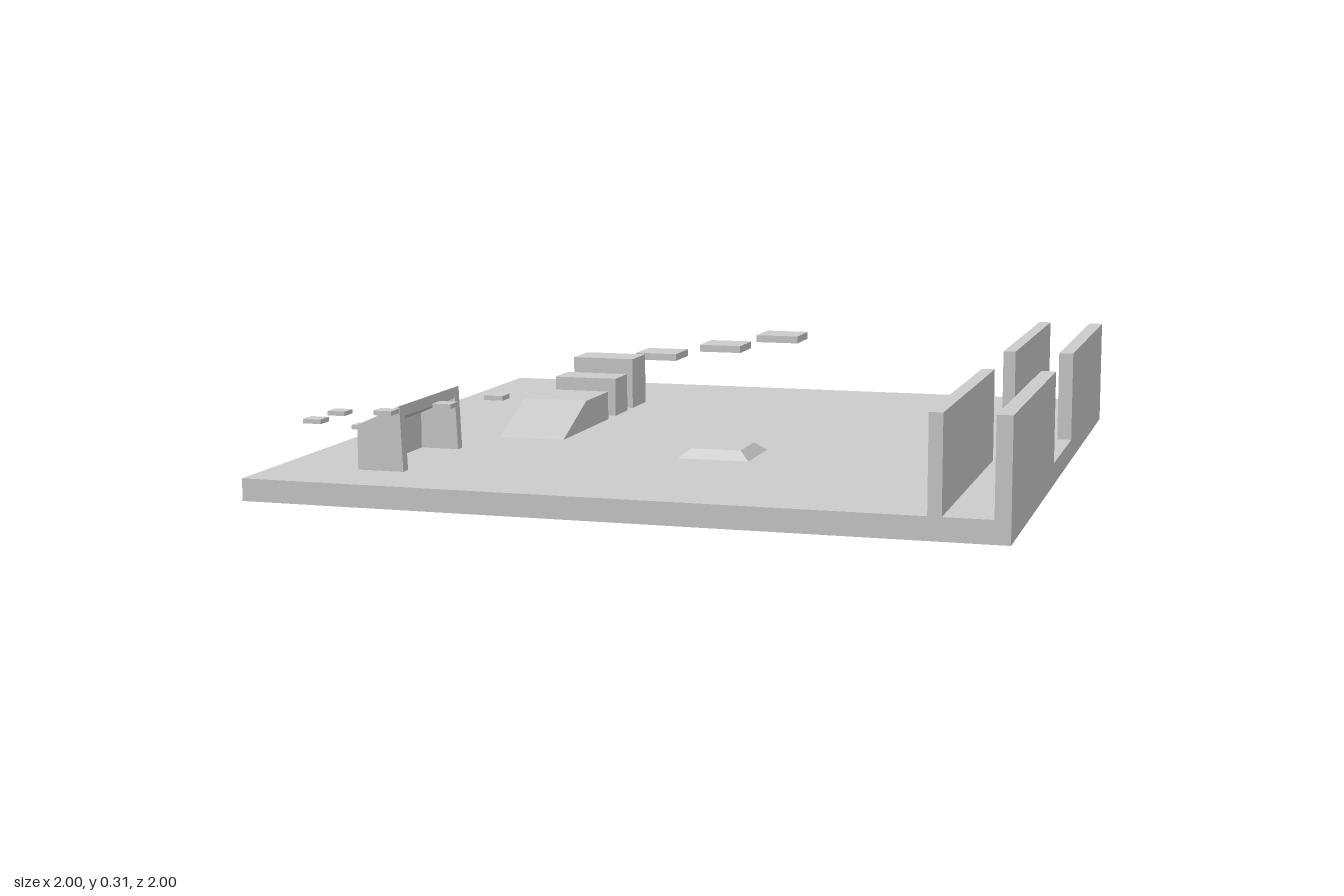
import * as THREE from 'three';

const material = new THREE.MeshStandardMaterial({ color: 0xcccccc, flatShading: true });
const FLOOR = 0.06;

export function createModel() {
  const model = new THREE.Group();

  const add = (name, geometry) => {
    const mesh = new THREE.Mesh(geometry, material);
    mesh.name = name;
    model.add(mesh);
    return mesh;
  };

  // Box given by its extents on each axis
  const box = (name, x0, x1, y0, y1, z0, z1) =>
    add(name, new THREE.BoxGeometry(x1 - x0, y1 - y0, z1 - z0))
      .position.set((x0 + x1) / 2, (y0 + y1) / 2, (z0 + z1) / 2);

  // Outline in x and y, extruded from z0 to z1
  const prism = (name, points, z0, z1) => {
    const shape = new THREE.Shape(points.map(([x, y]) => new THREE.Vector2(x, y)));
    const geometry = new THREE.ExtrudeGeometry(shape, { depth: z1 - z0, bevelEnabled: false });
    return add(name, geometry.translate(0, 0, z0));
  };

  // Ground slab
  box('ground', -1, 1, 0, FLOOR, -1, 1);

  // Two parallel corridor walls with a gap in the middle
  for (const [z0, z1] of [[-1, -0.2], [0.2, 1]]) {
    box('innerWall', 0.8, 0.835, FLOOR, 0.31, z0, z1);
    box('outerWall', 0.96, 1, FLOOR, 0.31, z0, z1);
  }

  // Ramp with a flat rear half: side outline extruded across x
  const rampShape = new THREE.Shape([[-0.2, FLOOR], [0, FLOOR], [0.2, FLOOR], [0, 0.145], [-0.2, 0.145]]
    .map(([z, y]) => new THREE.Vector2(-z, y)));
  const ramp = new THREE.ExtrudeGeometry(rampShape, { depth: 0.195, bevelEnabled: false });
  add('ramp', ramp.rotateY(Math.PI / 2).translate(-0.6, 0, 0));

  // Stepped blocks behind the ramp
  box('lowBlock', -0.6, -0.405, FLOOR, 0.175, -0.385, -0.27);
  box('highBlock', -0.6, -0.405, FLOOR, 0.215, -0.57, -0.44);

  // Large floating platforms, rising to the left
  [[-0.383, 0.202], [-0.168, 0.235], [0.02, 0.272]].forEach(([x, y]) =>
    box('platform', x - 0.067, x + 0.067, y - 0.011, y + 0.011, -0.75, -0.615));

  // Low raised pad with sloping sides
  const pad = new THREE.BoxGeometry(0.2, 0.024, 0.2);
  const p = pad.attributes.position;
  for (let i = 0; i < p.count; i++) {
    if (p.getY(i) > 0) p.setXYZ(i, p.getX(i) * 0.7, p.getY(i), p.getZ(i) * 0.7);
  }
  pad.computeVertexNormals();
  add('pad', pad).position.set(0.1, FLOOR + 0.012, 0.3);

  // Lean-to shelter, open towards +x
  const side = [[-0.765, FLOOR], [-0.635, FLOOR], [-0.643, 0.235], [-0.765, 0.18]];
  prism('shelterSide', side, 0.4, 0.43);
  prism('shelterSide', side, 0.77, 0.8);
  prism('shelterRoof', [[-0.765, 0.15], [-0.643, 0.205], [-0.643, 0.235], [-0.765, 0.18]], 0.43, 0.77);
  box('shelterBack', -0.765, -0.745, FLOOR, 0.16, 0.43, 0.77);

  // Small floating steps climbing round the shelter
  const steps = [
    [-0.84, 0.113, 0.442], [-0.84, 0.143, 0.602], [-0.84, 0.203, 0.747], [-0.84, 0.203, 0.888],
    [-0.64, 0.233, 0.888], [-0.475, 0.258, 0.888], [-0.332, 0.285, 0.888],
  ];
  for (const [x, y, z] of steps) {
    box('step', x - 0.025, x + 0.025, y - 0.006, y + 0.006, z - 0.024, z + 0.024);
  }

  return model;
}
